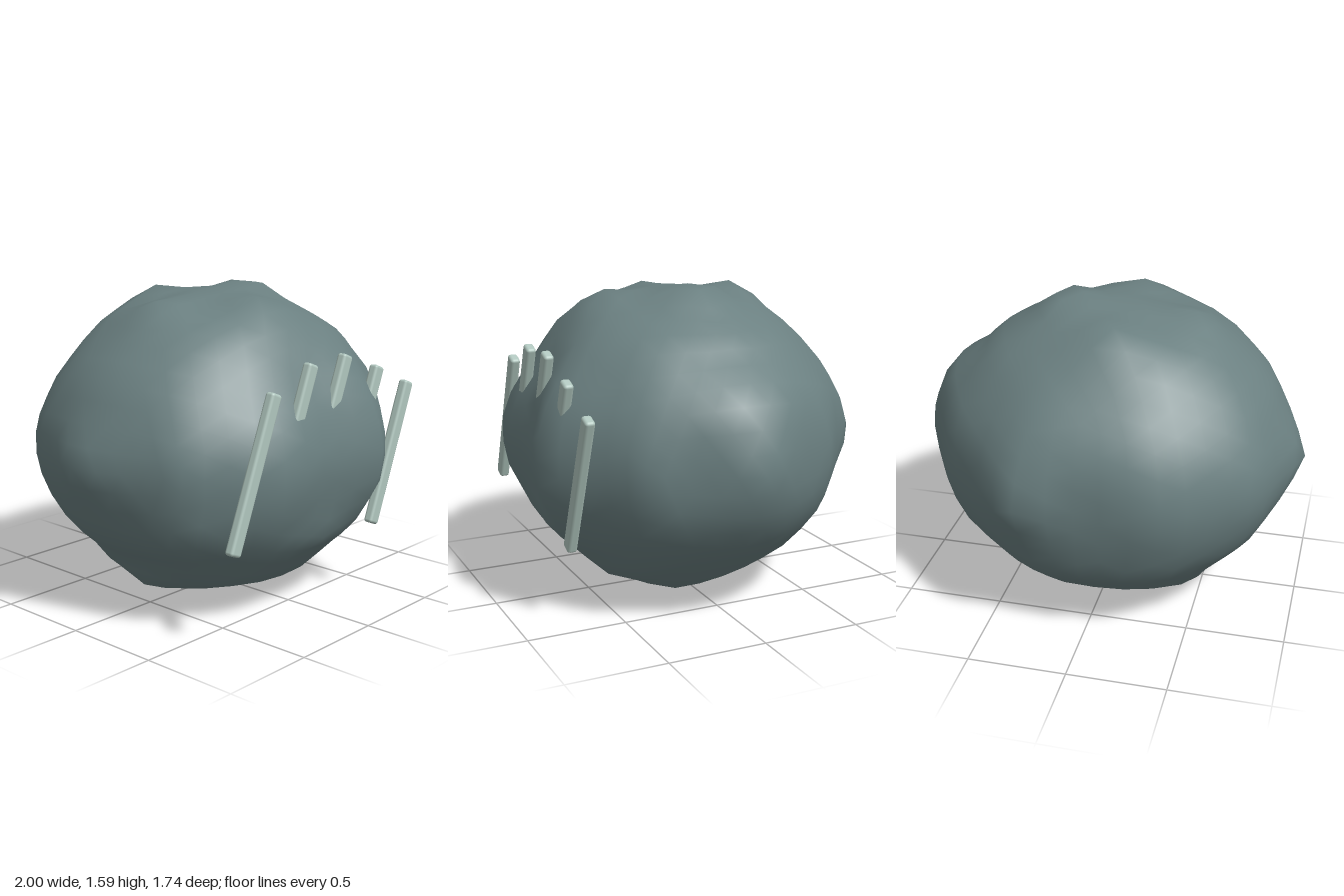
import * as THREE from 'three';
import { mergeVertices } from 'three/addons/utils/BufferGeometryUtils.js';
import { RoundedBoxGeometry } from 'three/addons/geometries/RoundedBoxGeometry.js';

const HALF = new THREE.Vector3(1, 0.8, 0.86); // half sizes of the boulder

// Outlines through the middle of the boulder, relative to its centre
const OUTLINE_XY = [[1, 0], [0.94, 0.19], [0.86, 0.37], [0.68, 0.47], [0.6, 0.57], [0.45, 0.65], [0.23, 0.8],
  [0.05, 0.75], [-0.2, 0.75], [-0.46, 0.74], [-0.66, 0.54], [-0.8, 0.4], [-0.9, 0.2], [-1, 0], [-0.8, -0.4],
  [-0.61, -0.57], [-0.54, -0.7], [-0.26, -0.78], [-0.1, -0.76], [0.18, -0.8], [0.4, -0.7], [0.6, -0.56],
  [0.78, -0.41], [0.92, -0.22]];
const OUTLINE_XZ = [[1, 0], [0.85, 0.25], [0.76, 0.51], [0.29, 0.86], [0.1, 0.83], [-0.02, 0.81], [-0.32, 0.825],
  [-0.46, 0.79], [-0.81, 0.52], [-0.9, 0.26], [-1, 0], [-0.9, -0.25], [-0.87, -0.38], [-0.8, -0.51],
  [-0.46, -0.78], [-0.32, -0.83], [-0.02, -0.8], [0.13, -0.84], [0.29, -0.865], [0.74, -0.5], [0.85, -0.29]];
const OUTLINE_ZY = [[0.81, 0], [0.75, 0.24], [0.58, 0.55], [0.39, 0.72], [0.2, 0.74], [0, 0.76], [-0.2, 0.74],
  [-0.38, 0.73], [-0.57, 0.55], [-0.74, 0.36], [-0.82, 0.2], [-0.82, 0], [-0.8, -0.21], [-0.73, -0.43],
  [-0.59, -0.55], [-0.42, -0.69], [-0.12, -0.77], [0.14, -0.77], [0.45, -0.69], [0.72, -0.43], [0.765, -0.23]];

// Swellings (+) and hollows (-) between the outlines: direction and height
const BUMPS = [
  [0.28, 0.2, 0.92, 0.025], [0.23, 0.45, 0.87, 0.04], [0.29, -0.26, 0.92, 0.05], [0.3, 0, -0.95, 0.035],
  [-0.43, -0.27, 0.86, 0.04], [-0.45, 0.15, 0.88, 0.02], [0.22, 0.97, 0, 0.02], [0.18, -0.97, 0.15, 0.035],
  [-0.64, -0.45, 0.63, 0.035], [-0.8, -0.43, 0.4, 0.025],
  [-0.1, 0.9, 0.45, 0.06], [-0.1, 0.9, -0.45, 0.06],
  [-0.32, 0.88, 0.3, -0.05], [-0.32, 0.88, -0.3, -0.05], [0.22, 0.88, 0.4, -0.05], [0.22, 0.88, -0.4, -0.05]];

// Returns a function giving the outline's radius at an angle, on the unit sphere scale
function outline(points, halfA, halfB) {
  const polar = points.map(([a, b]) => {
    const u = a / halfA, v = b / halfB;
    return { t: (Math.atan2(v, u) + 2 * Math.PI) % (2 * Math.PI), r: Math.hypot(u, v) };
  }).sort((p, q) => p.t - q.t);
  const last = polar[polar.length - 1];
  polar.unshift({ t: last.t - 2 * Math.PI, r: last.r });
  polar.push({ t: polar[1].t + 2 * Math.PI, r: polar[1].r });
  return (a, b) => {
    const t = (Math.atan2(b, a) + 2 * Math.PI) % (2 * Math.PI);
    let i = 1;
    while (i < polar.length - 1 && polar[i].t < t) i++;
    const p = polar[i - 1], q = polar[i];
    return p.r * q.r * Math.sin(q.t - p.t) / (p.r * Math.sin(t - p.t) + q.r * Math.sin(q.t - t));
  };
}

// Boulder: a sphere whose radius blends the three outlines
function boulderGeometry() {
  const xy = outline(OUTLINE_XY, HALF.x, HALF.y);
  const xz = outline(OUTLINE_XZ, HALF.x, HALF.z);
  const zy = outline(OUTLINE_ZY, HALF.z, HALF.y);
  let geo = new THREE.IcosahedronGeometry(1, 7);
  geo.deleteAttribute('normal');
  geo.deleteAttribute('uv');
  geo = mergeVertices(geo, 1e-4);
  const pos = geo.attributes.position;
  const d = new THREE.Vector3(), b = new THREE.Vector3();
  for (let i = 0; i < pos.count; i++) {
    d.fromBufferAttribute(pos, i).normalize();
    const wx = 1 / (d.x * d.x + 0.015), wy = 1 / (d.y * d.y + 0.015), wz = 1 / (d.z * d.z + 0.015);
    let r = (wz * xy(d.x, d.y) + wy * xz(d.x, d.z) + wx * zy(d.z, d.y)) / (wx + wy + wz);
    for (const [x, y, z, h] of BUMPS) r += h * Math.exp(-45 * (1 - d.dot(b.set(x, y, z).normalize())));
    d.multiplyScalar(r).multiply(HALF);
    pos.setXYZ(i, d.x, d.y + HALF.y, d.z);
  }
  geo.computeVertexNormals();
  return geo;
}

export function createModel() {
  const model = new THREE.Group();
  model.name = 'markedBoulder';

  const boulder = new THREE.Mesh(boulderGeometry(), new THREE.MeshStandardMaterial({ color: 0x6b8081 }));
  boulder.name = 'boulder';
  model.add(boulder);

  // Five slanted bars sunk into the front face
  const bars = new THREE.Group();
  bars.name = 'slantedBars';
  const barGeo = new RoundedBoxGeometry(0.072, 0.76, 0.05, 2, 0.015);
  const barMat = new THREE.MeshStandardMaterial({ color: 0xb0c6be });
  [0.82, 0.92, 0.93, 0.84, 0.725].forEach((y, i) => {
    const bar = new THREE.Mesh(barGeo, barMat);
    bar.name = `bar${i + 1}`;
    bar.position.set(-0.552 + i * 0.267, y, 0.733);
    bar.rotation.z = -0.38;
    bars.add(bar);
  });
  model.add(bars);
  return model;
}
